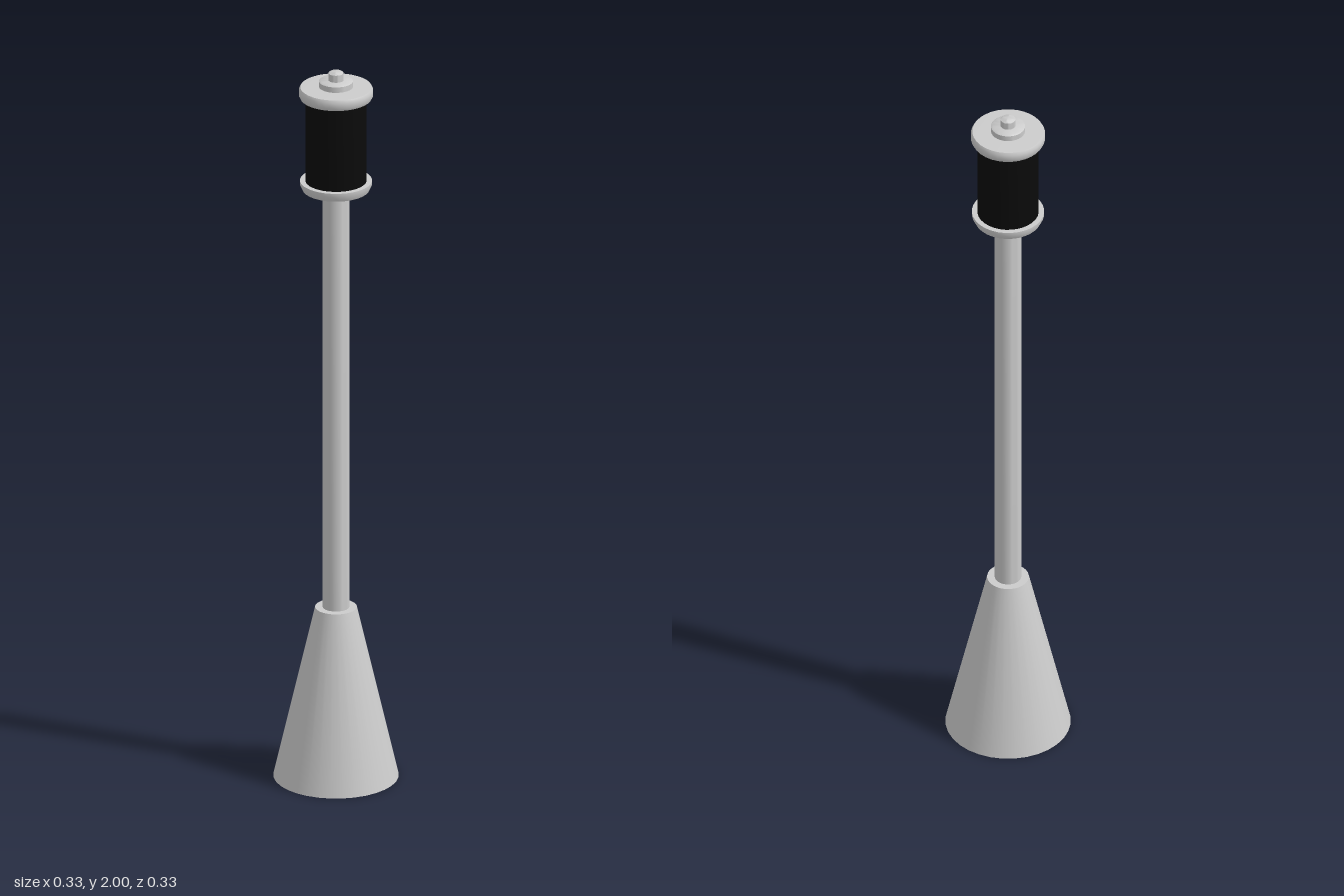
import * as THREE from 'three';
import { toCreasedNormals } from 'three/addons/utils/BufferGeometryUtils.js';

const SIDES = 32;

export function createModel() {
  const group = new THREE.Group();
  const grey = new THREE.MeshStandardMaterial({ color: 0xcccccc, side: THREE.DoubleSide });
  const black = new THREE.MeshStandardMaterial({ color: 0x0a0a0a, side: THREE.DoubleSide });

  // Turned part from [radius, height] points, listed bottom to top
  function turned(name, points, material = grey) {
    const profile = points.map(([r, y]) => new THREE.Vector2(r, y));
    const geometry = toCreasedNormals(new THREE.LatheGeometry(profile, SIDES), 0.6);
    const mesh = new THREE.Mesh(geometry, material);
    mesh.name = name;
    group.add(mesh);
  }

  // Conical foot and slim pole
  turned('base', [[0, 0], [0.165, 0], [0.055, 0.478], [0, 0.478]]);
  turned('pole', [[0.035, 0.47], [0.035, 1.67]]);

  // Lamp head: flared lower collar, dark lantern, upper collar
  turned('lowerCollar', [[0, 1.665], [0.088, 1.665], [0.095, 1.68], [0.095, 1.69], [0, 1.69]]);
  turned('lantern', [[0.081, 1.685], [0.081, 1.93]], black);
  turned('upperCollar', [[0, 1.925], [0.094, 1.925], [0.098, 1.933], [0.098, 1.948], [0.094, 1.955], [0, 1.958]]);

  // Stepped cap and small finial
  turned('cap', [[0.045, 1.95], [0.045, 1.972], [0.04, 1.975], [0, 1.975]]);
  turned('finial', [[0.02, 1.97], [0.02, 1.995], [0.014, 1.999], [0, 2]]);

  return group;
}
